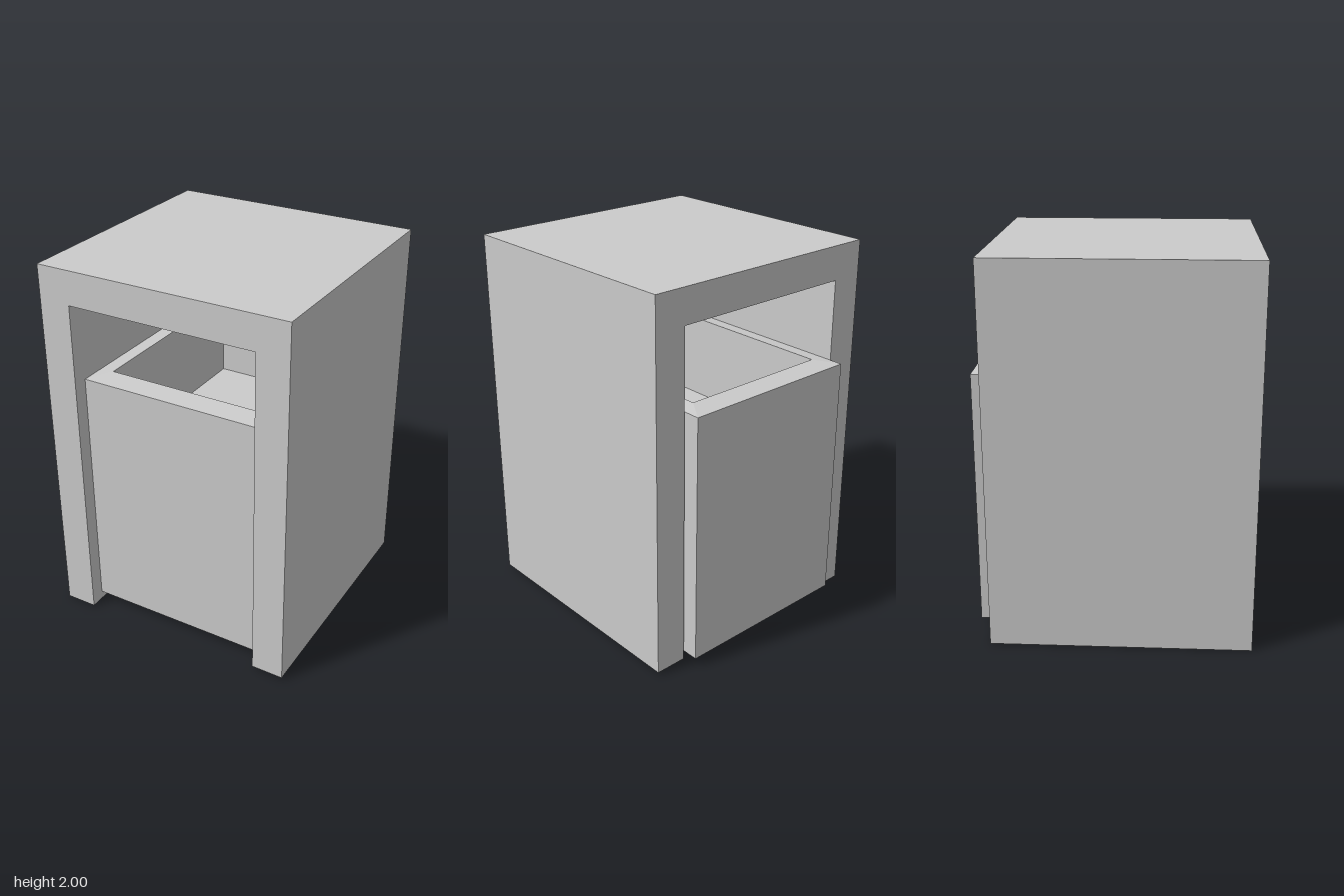
import * as THREE from 'three';

const material = new THREE.MeshStandardMaterial({ color: 0xcccccc, flatShading: true });

// Open-ended housing: an upside-down U extruded from back to front
function createHousing() {
  const profile = new THREE.Shape([
    [-0.68, 0], [-0.508, 0], [-0.508, 1.82], [0.508, 1.82],
    [0.508, 0.015], [0.68, 0.015], [0.68, 2], [-0.68, 2],
  ].map(([x, y]) => new THREE.Vector2(x, y)));
  const geometry = new THREE.ExtrudeGeometry(profile, { depth: 1.345, bevelEnabled: false });
  geometry.translate(0, 0, -0.635);
  const mesh = new THREE.Mesh(geometry, material);
  mesh.name = 'housing';
  return mesh;
}

// Bin: rectangular cross-sections joined up the outside, over the rim and down to the inner floor
function createBin() {
  const x0 = -0.505, x1 = 0.495, z0 = -0.71, z1 = 0.635;
  const ring = (y, dx, dz) => [
    [x0 + dx, y, z1 - dz], [x1 - dx, y, z1 - dz],
    [x1 - dx, y, z0 + dz], [x0 + dx, y, z0 + dz],
  ];
  const rings = [
    ring(0.05, 0, 0), ring(1.395, 0, 0),
    ring(1.405, 0.085, 0.125), ring(0.945, 0.085, 0.125),
  ];
  const positions = [];
  const quad = (a, b, c, d) => positions.push(...a, ...b, ...c, ...a, ...c, ...d);
  for (let i = 0; i < rings.length - 1; i++) {
    for (let j = 0; j < 4; j++) {
      const k = (j + 1) % 4;
      quad(rings[i][j], rings[i][k], rings[i + 1][k], rings[i + 1][j]);
    }
  }
  quad(...rings[3]); // inner floor
  quad(...[...rings[0]].reverse()); // underside
  const geometry = new THREE.BufferGeometry();
  geometry.setAttribute('position', new THREE.Float32BufferAttribute(positions, 3));
  geometry.computeVertexNormals();
  const mesh = new THREE.Mesh(geometry, material);
  mesh.name = 'bin';
  return mesh;
}

export function createModel() {
  const group = new THREE.Group();
  group.name = 'binInHousing';
  group.add(createHousing(), createBin());
  return group;
}
